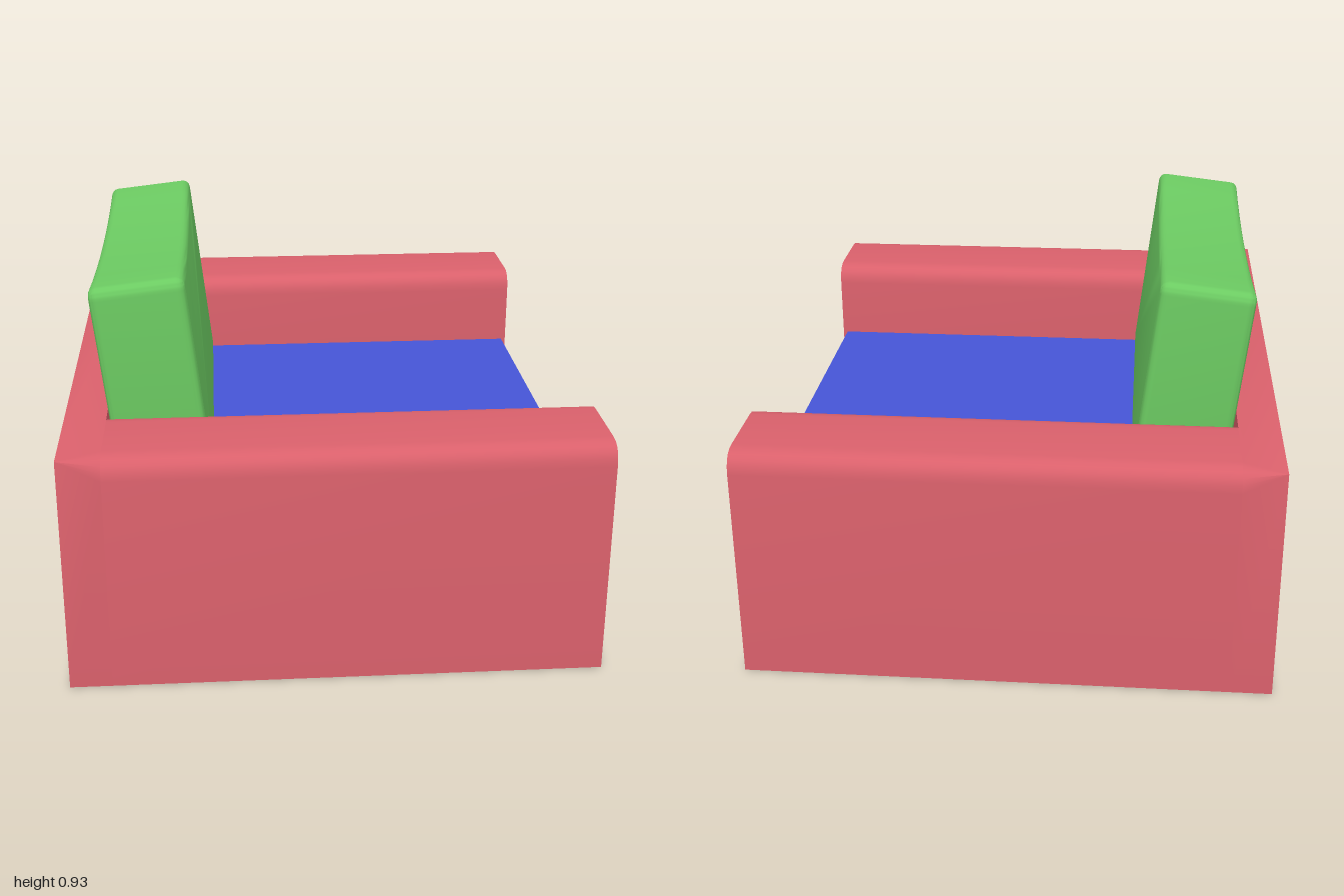
import * as THREE from 'three';
import { toCreasedNormals } from 'three/addons/utils/BufferGeometryUtils.js';

const W = 0.815;      // half width
const D = 0.6525;     // half depth
const H = 0.6;        // arm and back height
const INNER = 0.535;  // inner face of the arms
const FLOOR = 0.227;  // top of the base under the seat
const BACK = -0.55;   // front face of the back rest
const R = 0.055;      // rounding of the arm tops

const red = new THREE.MeshStandardMaterial({ color: 0xd9606b });
const blue = new THREE.MeshStandardMaterial({ color: 0x4655d6 });
const green = new THREE.MeshStandardMaterial({ color: 0x6ccb62 });

function addMesh(parent, name, geometry, material) {
  const mesh = new THREE.Mesh(geometry, material);
  mesh.name = name;
  parent.add(mesh);
  return mesh;
}

// Outline walked from point to point, rounding each corner that has a radius
function roundedShape(corners) {
  const shape = new THREE.Shape();
  const n = corners.length;
  corners.forEach(([x, y, r = 0], i) => {
    const p = new THREE.Vector2(x, y);
    const towards = (c) => new THREE.Vector2(c[0], c[1]).sub(p).normalize().multiplyScalar(r).add(p);
    const a = towards(corners[(i + n - 1) % n]);
    const b = towards(corners[(i + 1) % n]);
    if (i === 0) shape.moveTo(a.x, a.y);
    else shape.lineTo(a.x, a.y);
    if (r) shape.quadraticCurveTo(x, y, b.x, b.y);
  });
  shape.closePath();
  return shape;
}

// Base and both arms as one U-shaped section
function frameGeometry() {
  const shape = roundedShape([
    [-W, 0], [W, 0], [W, H, R], [INNER, H, R], [INNER, FLOOR],
    [-INNER, FLOOR], [-INNER, H, R], [-W, H, R],
  ]);
  const geometry = new THREE.ExtrudeGeometry(shape, { depth: D - BACK, bevelEnabled: false, curveSegments: 5 });
  geometry.translate(0, 0, BACK);
  return toCreasedNormals(geometry, 0.6);
}

// Back slab: rounded shoulders that run out to sharp corners at the rear
function backGeometry() {
  const shape = roundedShape([[-W, 0], [W, 0], [W, H, R], [-W, H, R]]);
  const geometry = new THREE.ExtrudeGeometry(shape, { depth: D + BACK, bevelEnabled: false, curveSegments: 5 });
  geometry.translate(0, 0, -D);
  const p = geometry.attributes.position;
  for (let i = 0; i < p.count; i++) {
    if (p.getZ(i) < -D + 0.001 && p.getY(i) > H - R - 0.001) {
      p.setXY(i, Math.sign(p.getX(i)) * W, H);
    }
  }
  return toCreasedNormals(geometry, 0.6);
}

// Back cushion with softened edges and a sagging top edge
function cushionGeometry() {
  const w = 0.51, h = 0.55, t = 0.235, r = 0.03, b = 0.02;
  const shape = new THREE.Shape();
  shape.moveTo(-w + r, 0);
  shape.lineTo(w - r, 0);
  shape.quadraticCurveTo(w, 0, w, r);
  shape.lineTo(w, h - r);
  shape.quadraticCurveTo(w, h, w - r, h);
  shape.quadraticCurveTo(0, h - 0.045, -w + r, h);
  shape.quadraticCurveTo(-w, h, -w, h - r);
  shape.lineTo(-w, r);
  shape.quadraticCurveTo(-w, 0, -w + r, 0);
  const geometry = new THREE.ExtrudeGeometry(shape, {
    depth: t - 2 * b, bevelThickness: b, bevelSize: b, bevelOffset: -b,
    bevelSegments: 4, curveSegments: 8,
  });
  geometry.translate(0, 0, b - t);
  return toCreasedNormals(geometry, 0.7);
}

export function createModel() {
  const model = new THREE.Group();
  model.name = 'armchair';

  const frame = new THREE.Group();
  frame.name = 'frame';
  addMesh(frame, 'baseAndArms', frameGeometry(), red);
  addMesh(frame, 'backRest', backGeometry(), red);
  model.add(frame);

  // Seat cushion between the arms
  const seatFront = 0.638;
  const seat = addMesh(model, 'seatCushion', new THREE.BoxGeometry(1.052, 0.155, seatFront - BACK), blue);
  seat.position.set(0, FLOOR + 0.0765, (seatFront + BACK) / 2);

  // Back cushion leaning on the back rest
  const cushion = addMesh(model, 'backCushion', cushionGeometry(), green);
  cushion.position.set(-0.015, 0.39, -0.29);
  cushion.rotation.x = THREE.MathUtils.degToRad(-6.5);

  // The whole chair stands turned on the floor
  model.rotation.y = THREE.MathUtils.degToRad(112);
  const root = new THREE.Group();
  root.add(model);
  return root;
}
